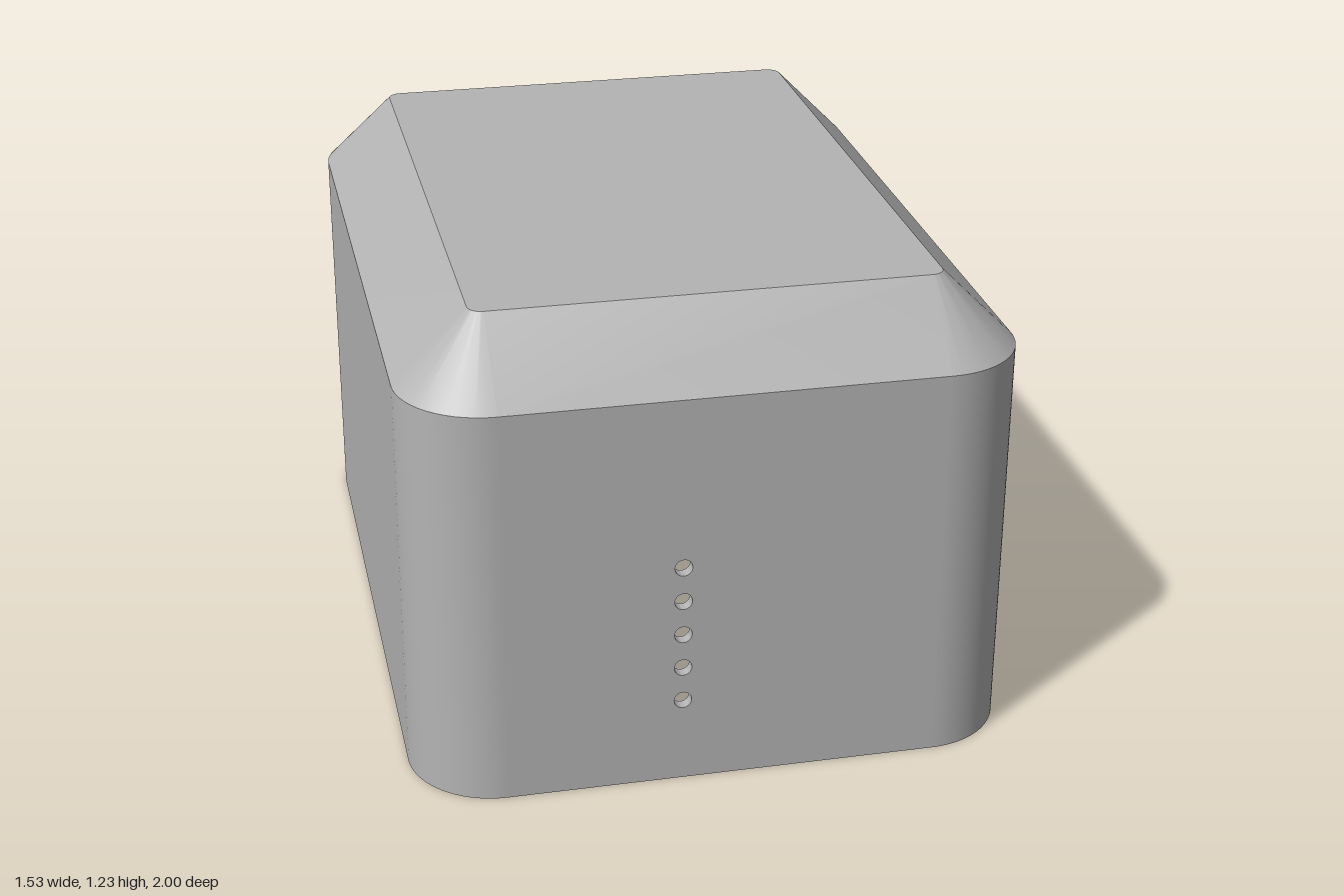
import * as THREE from 'three';
import { toCreasedNormals } from 'three/addons/utils/BufferGeometryUtils.js';

const T = 0.03;                  // wall thickness
const CX = 0.545, CZ = 0.78;     // centres of the corner arcs
const R = 0.22;                  // outer corner radius
const WALL_H = 1.04, TOP = 1.225, TOP_R = 0.035;
const SEG = 14;                  // segments per corner

const grey = new THREE.MeshStandardMaterial({ color: 0xb4b4b4 });
grey.name = 'plasticGrey';

function add(parent, name, geometry) {
  const mesh = new THREE.Mesh(geometry, grey);
  mesh.name = name;
  parent.add(mesh);
  return mesh;
}

function extrude(shape, depth, curveSegments = 20) {
  const g = new THREE.ExtrudeGeometry(shape, { depth, bevelEnabled: false, curveSegments });
  return toCreasedNormals(g, 0.5);
}

function circle(x, y, r) {
  return new THREE.Path().absarc(x, y, r, 0, Math.PI * 2, true);
}

// Rounded opening, clockwise from the lower left
function roundedHole(x0, y0, x1, y1, r) {
  const p = new THREE.Path();
  p.absarc(x0 + r, y0 + r, r, -Math.PI / 2, -Math.PI, true);
  p.absarc(x0 + r, y1 - r, r, Math.PI, Math.PI / 2, true);
  p.absarc(x1 - r, y1 - r, r, Math.PI / 2, 0, true);
  p.absarc(x1 - r, y0 + r, r, 0, -Math.PI / 2, true);
  p.closePath();
  return p;
}

// Flat wall standing on y = 0 with holes cut through
function panel(halfWidth, holes) {
  const s = new THREE.Shape();
  s.moveTo(-halfWidth, 0);
  s.lineTo(halfWidth, 0);
  s.lineTo(halfWidth, WALL_H);
  s.lineTo(-halfWidth, WALL_H);
  s.closePath();
  s.holes.push(...holes);
  return extrude(s, T);
}

// Rounded rectangle ring around the shared corner centres
function ring(r, y) {
  const pts = [];
  [[1, 1], [-1, 1], [-1, -1], [1, -1]].forEach(([sx, sz], k) => {
    for (let i = 0; i <= SEG; i++) {
      const a = (k + i / SEG) * Math.PI / 2;
      pts.push(new THREE.Vector3(sx * CX + r * Math.cos(a), y, sz * CZ + r * Math.sin(a)));
    }
  });
  return pts;
}

// Sloped band between two rings, closed by a flat cap; inward flips the faces
function roofSkin(low, high, inward) {
  const pos = [];
  const tri = (a, b, c) => (inward ? [a, c, b] : [a, b, c]).forEach(p => pos.push(p.x, p.y, p.z));
  const centre = new THREE.Vector3(0, high[0].y, 0);
  low.forEach((p, i) => {
    const j = (i + 1) % low.length;
    tri(p, high[i], low[j]);
    tri(low[j], high[i], high[j]);
    tri(high[i], centre, high[j]);
  });
  const g = new THREE.BufferGeometry();
  g.setAttribute('position', new THREE.Float32BufferAttribute(pos, 3));
  return toCreasedNormals(g, 0.5);
}

export function createModel() {
  const model = new THREE.Group();
  model.name = 'enclosure';

  // Front and back walls with a column of vent holes
  const vents = () => [0, 1, 2, 3, 4].map(i => circle(-0.105, 0.225 + i * 0.0925, 0.022));
  add(model, 'frontWall', panel(CX, vents())).position.z = 1 - T;
  add(model, 'backWall', panel(CX, vents())).position.z = -1;

  // Side walls, the left one with a large rounded window
  const left = add(model, 'leftWindowWall', panel(CZ, [roundedHole(-0.768, 0.08, 0.768, 0.943, 0.25)]));
  left.rotation.y = Math.PI / 2;
  left.position.x = CX + R - T;
  const right = add(model, 'rightWall', panel(CZ, []));
  right.rotation.y = Math.PI / 2;
  right.position.x = -CX - R;

  // Rounded corner walls
  const arc = new THREE.Shape();
  arc.absarc(0, 0, R, 0, Math.PI / 2, false);
  arc.absarc(0, 0, R - T, Math.PI / 2, 0, true);
  arc.closePath();
  const cornerGeo = extrude(arc, WALL_H, SEG).rotateX(-Math.PI / 2);
  [[1, -1], [-1, -1], [-1, 1], [1, 1]].forEach(([sx, sz], k) => {
    const corner = add(model, 'cornerWall', cornerGeo);
    corner.rotation.y = k * Math.PI / 2;
    corner.position.set(sx * CX, 0, sz * CZ);
  });

  // Chamfered roof, outside and inside
  const d = T * Math.tan(Math.PI / 8);
  add(model, 'roof', roofSkin(ring(R, WALL_H), ring(TOP_R, TOP), false));
  add(model, 'roofLining', roofSkin(ring(R - T, WALL_H - d), ring(TOP_R - d, TOP - T), true));

  // Hollow screw bosses low on the inside of three walls
  const bossShape = new THREE.Shape().absarc(0, 0, 0.05, 0, Math.PI * 2, false);
  bossShape.holes.push(circle(0, 0, 0.022));
  const bossGeo = extrude(bossShape, 0.11);
  const boss = (x, z, turn) => {
    const b = add(model, 'screwBoss', bossGeo);
    b.position.set(x, 0.08, z);
    b.rotation.y = turn;
  };
  for (const s of [-1, 1]) {
    boss(s * 0.3, 0.87, 0);
    boss(s * 0.3, -0.87, Math.PI);
    boss(-0.635, s * 0.46, -Math.PI / 2);
  }

  return model;
}
